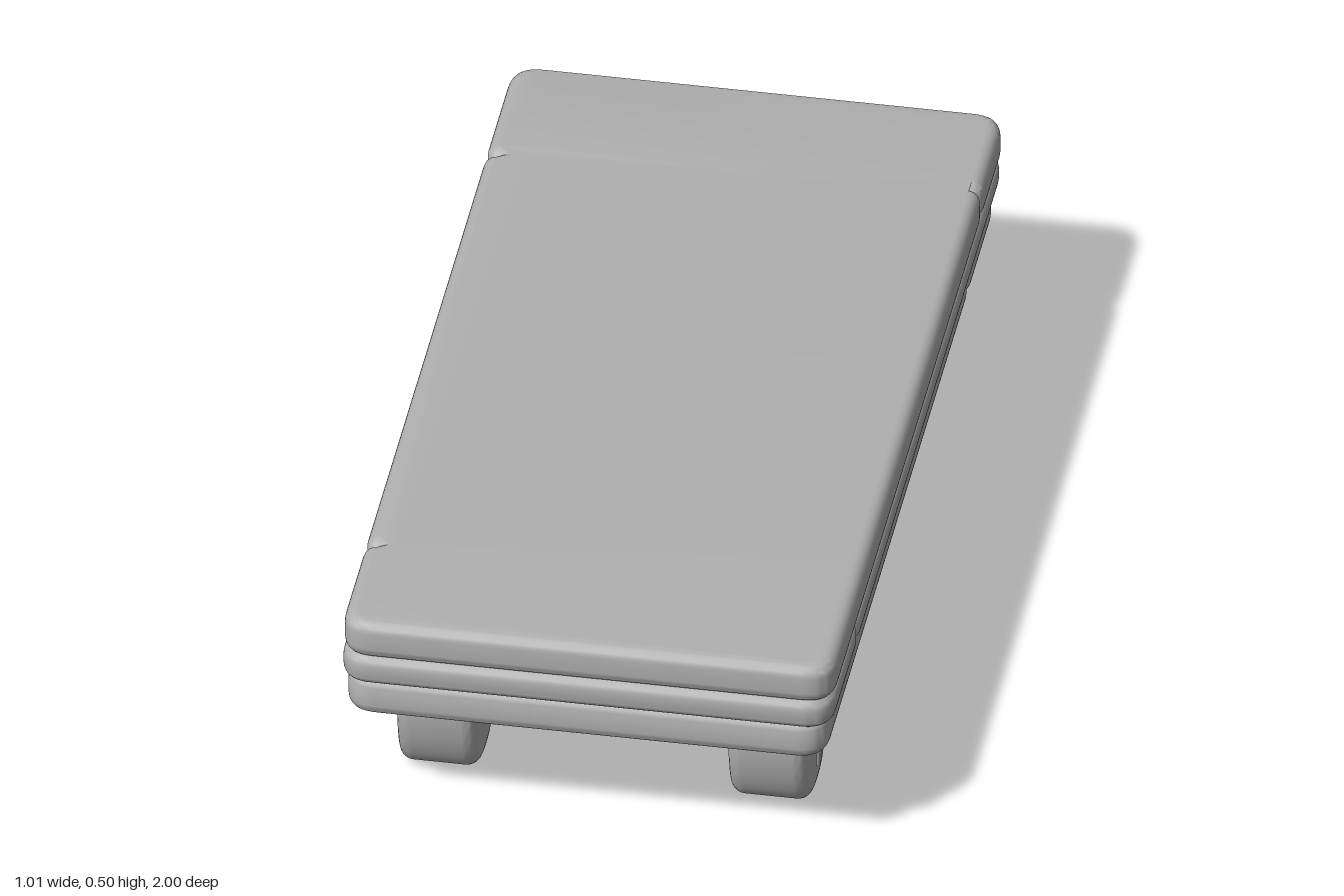
import * as THREE from 'three';
import { toCreasedNormals } from 'three/addons/utils/BufferGeometryUtils.js';

const grey = new THREE.MeshStandardMaterial({ color: 0xb0b0b0 });
grey.name = 'stone grey';

function part(name, geometry, parent) {
  const mesh = new THREE.Mesh(toCreasedNormals(geometry, 0.8), grey);
  mesh.name = name;
  parent.add(mesh);
  return mesh;
}

// Extrude whose outer size equals the outline, with soft edges all round
function softExtrude(shape, thickness, bevel) {
  return new THREE.ExtrudeGeometry(shape, {
    depth: thickness - 2 * bevel, bevelThickness: bevel, bevelSize: bevel,
    bevelOffset: -bevel, bevelSegments: 6, curveSegments: 10,
  }).translate(0, 0, bevel);
}

// Rounded rectangle from x0 to x1 with small chips along the long sides
function slabShape(x0, x1, halfLength, chipsLeft, chipsRight) {
  const r = 0.065, h = halfLength, s = new THREE.Shape();
  const chip = (x, y, dir, inward) => {
    s.lineTo(x, y - dir * 0.03);
    s.quadraticCurveTo(x, y, x + inward * 0.025, y);
    s.quadraticCurveTo(x, y, x, y + dir * 0.03);
  };
  s.moveTo(x0 + r, -h);
  s.lineTo(x1 - r, -h);
  s.quadraticCurveTo(x1, -h, x1, -h + r);
  [...chipsLeft].sort((a, b) => b - a).forEach(z => chip(x1, -z, 1, -1));
  s.lineTo(x1, h - r);
  s.quadraticCurveTo(x1, h, x1 - r, h);
  s.lineTo(x0 + r, h);
  s.quadraticCurveTo(x0, h, x0, h - r);
  [...chipsRight].sort((a, b) => a - b).forEach(z => chip(x0, -z, -1, 1));
  s.lineTo(x0, -h + r);
  s.quadraticCurveTo(x0, -h, x0 + r, -h);
  return s;
}

// Lumpy wheel outline: wide shoulders, narrower flattened foot
function wheelShape() {
  const outline = [
    [-0.07, 0.262], [0.07, 0.262], [0.116, 0.225], [0.127, 0.17], [0.112, 0.08],
    [0.08, 0.022], [0.03, 0.001], [-0.03, 0.001], [-0.08, 0.022], [-0.112, 0.08],
    [-0.127, 0.17], [-0.116, 0.225],
  ].map(([x, y]) => new THREE.Vector3(x, y, 0));
  const curve = new THREE.CatmullRomCurve3(outline, true);
  const points = curve.getPoints(48).slice(0, -1).map(p => new THREE.Vector2(p.x, Math.max(0, p.y)));
  return new THREE.Shape(points);
}

export function createModel() {
  const model = new THREE.Group();
  model.name = 'stoneCart';

  // Three stacked slabs
  const slabs = [
    ['bottomSlab', -0.5, 0.488, 0.985, 0.26, 0.348, [-0.67], [0.68]],
    ['middleSlab', -0.508, 0.502, 0.998, 0.342, 0.414, [0.68], [-0.68]],
    ['topSlab', -0.505, 0.505, 0.998, 0.408, 0.496, [-0.73], [-0.68, 0.71]],
  ];
  for (const [name, x0, x1, half, y0, y1, left, right] of slabs) {
    const geometry = softExtrude(slabShape(x0, x1, half, left, right), y1 - y0, 0.026);
    part(name, geometry.rotateX(-Math.PI / 2).translate(0, y0, 0), model);
  }

  // Two axles, each with a pair of wheels
  for (const end of [1, -1]) {
    const axleSet = new THREE.Group();
    axleSet.name = end > 0 ? 'frontAxleSet' : 'backAxleSet';
    axleSet.position.z = end * 0.704;
    model.add(axleSet);

    const axle = new THREE.CylinderGeometry(0.05, 0.05, 0.6, 24);
    part('axle', axle.rotateZ(Math.PI / 2).translate(0, 0.137, 0), axleSet);

    for (const side of [1, -1]) {
      const label = side > 0 ? 'left' : 'right';
      const wheel = softExtrude(wheelShape(), 0.166, 0.03);
      wheel.rotateY(Math.PI / 2).translate(-0.083 + side * 0.34, 0, 0);
      part(label + 'Wheel', wheel, axleSet);

      // Shallow T-shaped ridge on the hub face
      const ridge = new THREE.Shape([
        [-0.014, 0.06], [0.014, 0.06], [0.018, 0.175], [0.065, 0.185], [0.06, 0.212],
        [-0.06, 0.212], [-0.065, 0.185], [-0.018, 0.175],
      ].map(([x, y]) => new THREE.Vector2(x, y)));
      const hub = softExtrude(ridge, 0.016, 0.006);
      part(label + 'HubRidge', hub.rotateY(Math.PI / 2).translate(side * 0.422 - 0.008, 0, 0), axleSet);
    }
  }
  return model;
}
